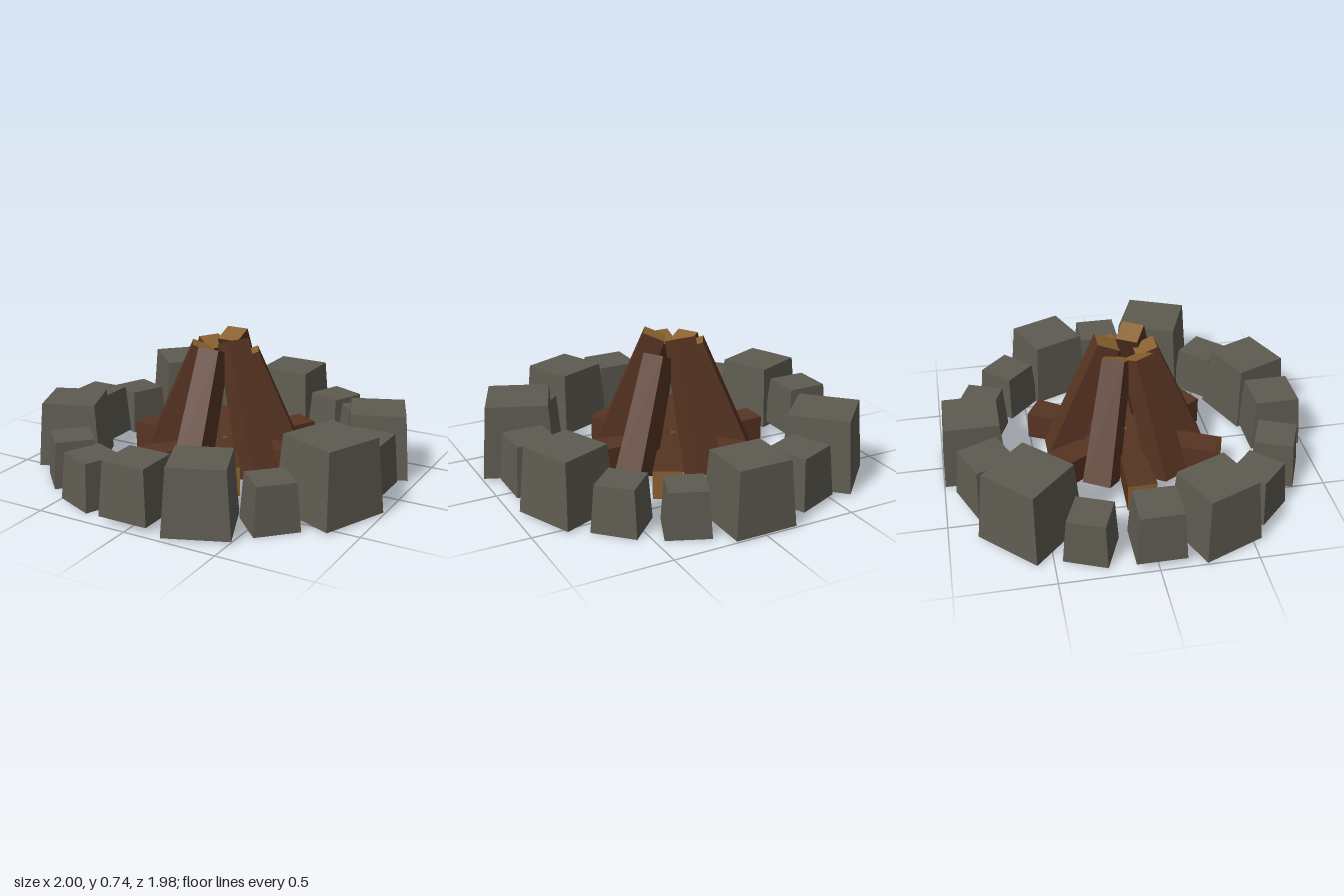
import * as THREE from 'three';

const mat = (name, color) => {
  const m = new THREE.MeshStandardMaterial({ color });
  m.name = name;
  return m;
};

// Square block standing on its base, narrowing towards the top
function taperedBlock(base, top, height) {
  const g = new THREE.BoxGeometry(base, height, base);
  g.translate(0, height / 2, 0);
  const p = g.attributes.position;
  for (let i = 0; i < p.count; i++) {
    if (p.getY(i) > height / 2) {
      p.setX(i, p.getX(i) * top / base);
      p.setZ(i, p.getZ(i) * top / base);
    }
  }
  g.computeVertexNormals();
  return g;
}

export function createModel() {
  const model = new THREE.Group();
  model.name = 'campfire';
  const stone = mat('stone', 0x5e5b51);
  const bark = mat('bark', 0x573422);
  const core = mat('cutWood', 0x8a6130);
  const logMaterials = [bark, bark, core, core, bark, bark];
  const centreX = -0.02;

  // Ring of stones, counted from the front towards +x: [size, bottom]
  const ring = new THREE.Group();
  ring.name = 'stoneRing';
  ring.position.x = centreX;
  const stones = [
    [0.275, 0.03], [0.335, 0.01], [0.237, 0], [0.38, 0.01],
    [0.255, 0.035], [0.335, 0.01], [0.237, 0], [0.23, 0],
    [0.335, 0.005], [0.262, 0.03], [0.375, 0.01], [0.23, 0],
    [0.255, 0.035], [0.335, 0.01], [0.237, 0], [0.24, 0],
  ];
  stones.forEach(([size, bottom], i) => {
    const a = i * Math.PI / 8;
    const shifted = a - 0.017 * Math.cos(2 * a);
    const mesh = new THREE.Mesh(taperedBlock(size, size * 0.86, size + 0.012), stone);
    mesh.name = 'stone';
    mesh.position.set(0.828 * Math.sin(shifted), bottom, 0.828 * Math.cos(shifted));
    mesh.rotation.y = a;
    ring.add(mesh);
  });
  model.add(ring);

  // One log with its thick end at radius r, tilted inwards, turned about the centre
  function addLog(parent, name, angle, r, y, length, tilt) {
    const arm = new THREE.Group();
    arm.name = name;
    arm.rotation.y = angle;
    const log = new THREE.Mesh(taperedBlock(0.155, 0.121, length), logMaterials);
    log.name = name;
    log.position.set(0, y, r);
    log.rotation.x = -tilt;
    arm.add(log);
    parent.add(arm);
  }

  const wood = new THREE.Group();
  wood.name = 'logs';
  wood.position.x = centreX;

  // Leaning logs
  [0.67, 0.72, 0.63, 0.72, 0.67, 0.67].forEach((length, i) =>
    addLog(wood, 'leaningLog', i * Math.PI / 3, 0.36, 0.05, length, 0.382));

  // Logs lying on the ground, pointing outwards between the leaning ones
  [0.49, 0.497, 0.545, 0.487, 0.53, 0.535].forEach((reach, i) =>
    addLog(wood, 'groundLog', Math.PI / 6 + i * Math.PI / 3, reach, 0.093, reach - 0.015, Math.PI / 2));
  model.add(wood);

  return model;
}
